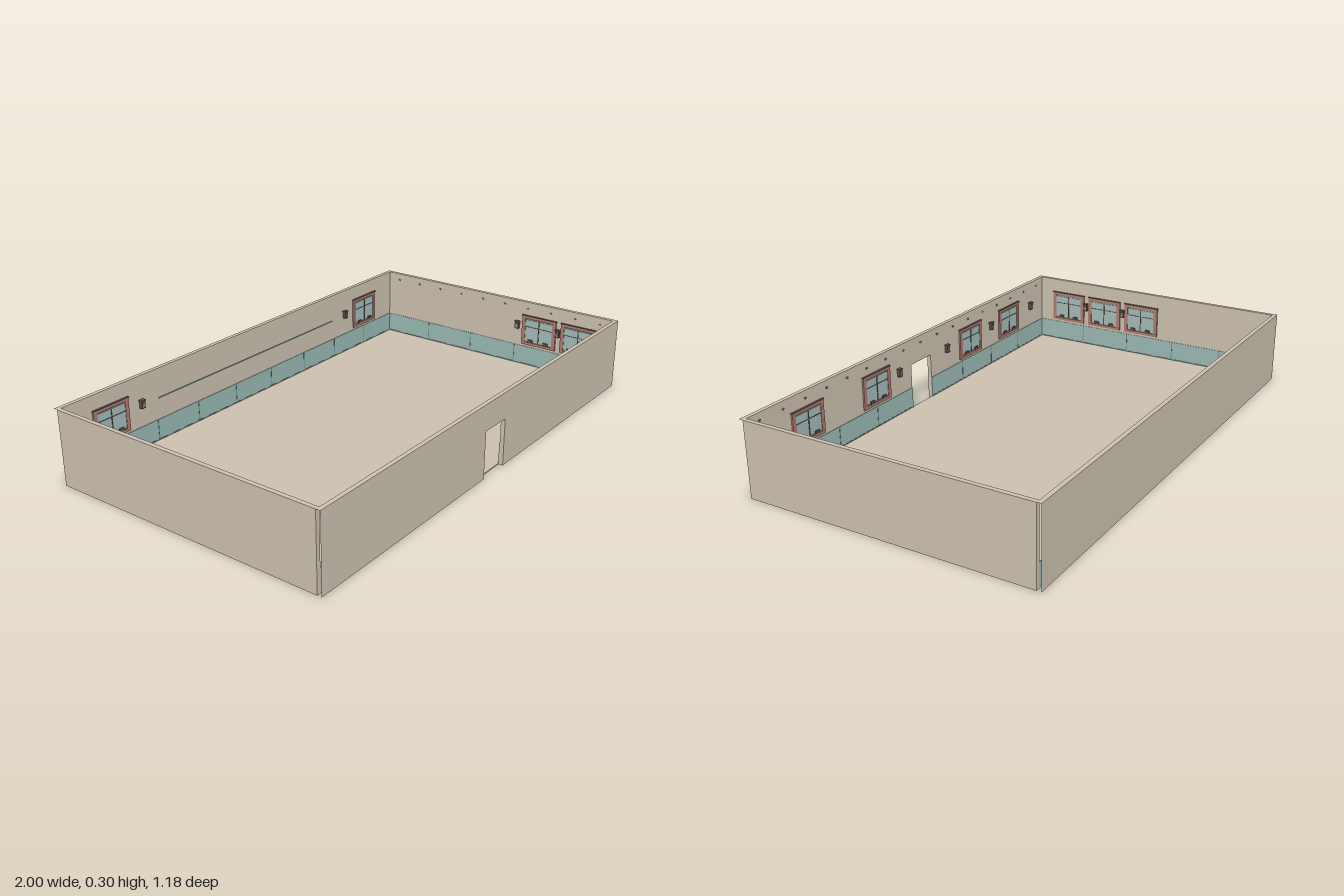
import * as THREE from 'three';

const H = 0.297, T = 0.017, HX = 1, HZ = 0.592; // wall height, thickness, half extents
const IX = HX - T, IZ = HZ - T;                 // inner faces
const DOOR = { w: 0.134, h: 0.19 };
const FLOOR = 0.005;

const mat = (name, color) => {
  const m = new THREE.MeshStandardMaterial({ color });
  m.name = name;
  return m;
};
const M = {
  wall: mat('plaster', 0xccc1af),
  floor: mat('floor stone', 0xccbfae),
  panel: mat('teal panel', 0x9ab9b4),
  trim: mat('dark teal trim', 0x6f8f8b),
  frame: mat('red wood', 0xb07a70),
  glass: mat('window glass', 0xa3bbb9),
  dark: mat('dark metal', 0x5a4c45),
  bulb: mat('bulb', 0x9c8a72),
};

function box(parent, name, m, w, h, d, x, y, z) {
  const mesh = new THREE.Mesh(new THREE.BoxGeometry(w, h, d), m);
  mesh.name = name;
  mesh.position.set(x, y, z);
  parent.add(mesh);
}

// Long wall with optional doorway, its two ends left open at the corners
function longWall(parent, name, z, door) {
  const s = new THREE.Shape();
  s.moveTo(-HX, 0);
  if (door) {
    s.lineTo(-DOOR.w / 2, 0);
    s.lineTo(-DOOR.w / 2, DOOR.h);
    s.lineTo(DOOR.w / 2, DOOR.h);
    s.lineTo(DOOR.w / 2, 0);
  }
  s.lineTo(HX, 0);
  s.lineTo(HX, H);
  s.lineTo(-HX, H);
  s.closePath();
  const src = new THREE.ExtrudeGeometry(s, { depth: T, bevelEnabled: false }).toNonIndexed();
  const p = src.attributes.position, kept = [];
  for (let i = 0; i < p.count; i += 3) {
    const isEnd = [-HX, HX].some(e => [0, 1, 2].every(k => Math.abs(p.getX(i + k) - e) < 1e-4));
    if (!isEnd) for (let k = 0; k < 3; k++) kept.push(p.getX(i + k), p.getY(i + k), p.getZ(i + k));
  }
  const g = new THREE.BufferGeometry();
  g.setAttribute('position', new THREE.Float32BufferAttribute(kept, 3));
  g.computeVertexNormals();
  const mesh = new THREE.Mesh(g, M.wall);
  mesh.name = name;
  mesh.position.z = z;
  parent.add(mesh);
}

// Framed window with glazing bars and small planters; local +z faces the room
function makeWindow(parent, u) {
  const g = new THREE.Group();
  g.name = 'window';
  g.position.set(u, 0.168, 0);
  const w = 0.166, h = 0.134, b = 0.017;
  box(g, 'glass', M.glass, w - 2 * b, h - 2 * b, 0.004, 0, 0, 0.003);
  for (const s of [-1, 1]) {
    box(g, 'frameSide', M.frame, b, h, 0.007, s * (w - b) / 2, 0, 0.0035);
    box(g, 'frameRail', M.frame, w - 2 * b, b * 0.7, 0.007, 0, s * (h - b * 0.7) / 2, 0.0035);
    box(g, 'planter', M.dark, 0.022, 0.012, 0.01, s * 0.037, -h / 2 + 0.02, 0.005);
  }
  box(g, 'middlePost', M.dark, 0.004, h - 2 * b, 0.006, 0, 0, 0.004);
  box(g, 'crossBar', M.dark, w - 2 * b, 0.002, 0.006, 0, 0.018, 0.004);
  box(g, 'lintel', M.dark, w + 0.004, 0.003, 0.009, 0, h / 2 + 0.001, 0.0045);
  parent.add(g);
}

// Wall lantern
function makeLamp(parent, u) {
  const g = new THREE.Group();
  g.name = 'wallLamp';
  g.position.set(u, 0.185, 0);
  box(g, 'lampBody', M.dark, 0.018, 0.03, 0.014, 0, 0, 0.01);
  box(g, 'lampCap', M.dark, 0.022, 0.004, 0.017, 0, 0.017, 0.01);
  box(g, 'lampGlow', M.bulb, 0.011, 0.016, 0.002, 0, -0.001, 0.0175);
  parent.add(g);
}

// Teal wainscot from a to b with baseboard and seams
function wainscot(parent, a, b) {
  const len = b - a, mid = (a + b) / 2, top = 0.09;
  box(parent, 'wainscot', M.panel, len, top - FLOOR, 0.002, mid, (top + FLOOR) / 2, 0.001);
  box(parent, 'baseboard', M.trim, len, 0.004, 0.003, mid, FLOOR + 0.002, 0.0015);
  const n = Math.round(len / 0.22);
  for (let i = 1; i < n; i++)
    box(parent, 'panelSeam', M.trim, 0.004, top - FLOOR, 0.003, a + len * i / n, (top + FLOOR) / 2, 0.0015);
}

// Row of small bulbs under the wall top
function lightRow(parent, half) {
  const n = Math.round(half * 2 / 0.115);
  for (let i = 0; i < n; i++)
    box(parent, 'hangingBulb', M.bulb, 0.008, 0.006, 0.004, -half + (i + 0.5) * 2 * half / n, 0.268, 0.002);
}

// Interior side of one wall: u runs along the wall, +z points into the room
function interior(parent, name, x, z, turn, windows, lamps) {
  const g = new THREE.Group();
  g.name = name;
  g.position.set(x, 0, z);
  g.rotation.y = turn;
  windows.forEach(u => makeWindow(g, u));
  lamps.forEach(u => makeLamp(g, u));
  parent.add(g);
  return g;
}

export function createModel() {
  const root = new THREE.Group();
  root.name = 'openRoom';

  // Shell
  box(root, 'floor', M.floor, 2 * IX, FLOOR, 2 * IZ, 0, FLOOR / 2, 0);
  longWall(root, 'frontWall', IZ, true);
  longWall(root, 'backWall', -HZ, false);
  for (const s of [-1, 1])
    box(root, s > 0 ? 'leftWall' : 'rightWall', M.wall, T, H, 2 * IZ, s * (HX - T / 2), H / 2, 0);

  // Back wall: two windows, two lamps and a long picture rail
  const back = interior(root, 'backInterior', 0, -IZ, 0, [-0.77, 0.77], [-0.625, 0.62]);
  wainscot(back, -IX, IX);
  box(back, 'pictureRail', M.trim, 1.07, 0.004, 0.003, 0, 0.177, 0.0015);

  // Front wall (u = -x): windows either side of the doorway
  const front = interior(root, 'frontInterior', 0, IZ, Math.PI,
    [0.675, 0.36, -0.295, -0.69], [0.86, 0.52, 0.176, -0.155, -0.86]);
  wainscot(front, -IX, -DOOR.w / 2);
  wainscot(front, DOOR.w / 2, IX);
  lightRow(front, IX);

  // Left wall (u = z)
  const left = interior(root, 'leftInterior', IX, 0, -Math.PI / 2, [0.235, 0.425], [0.13, 0.33]);
  wainscot(left, -IZ, IZ);
  lightRow(left, IZ);

  // Right wall (u = -z)
  const right = interior(root, 'rightInterior', -IX, 0, Math.PI / 2, [-0.045, -0.235, -0.425], [-0.137, -0.33]);
  wainscot(right, -IZ, IZ);

  return root;
}
